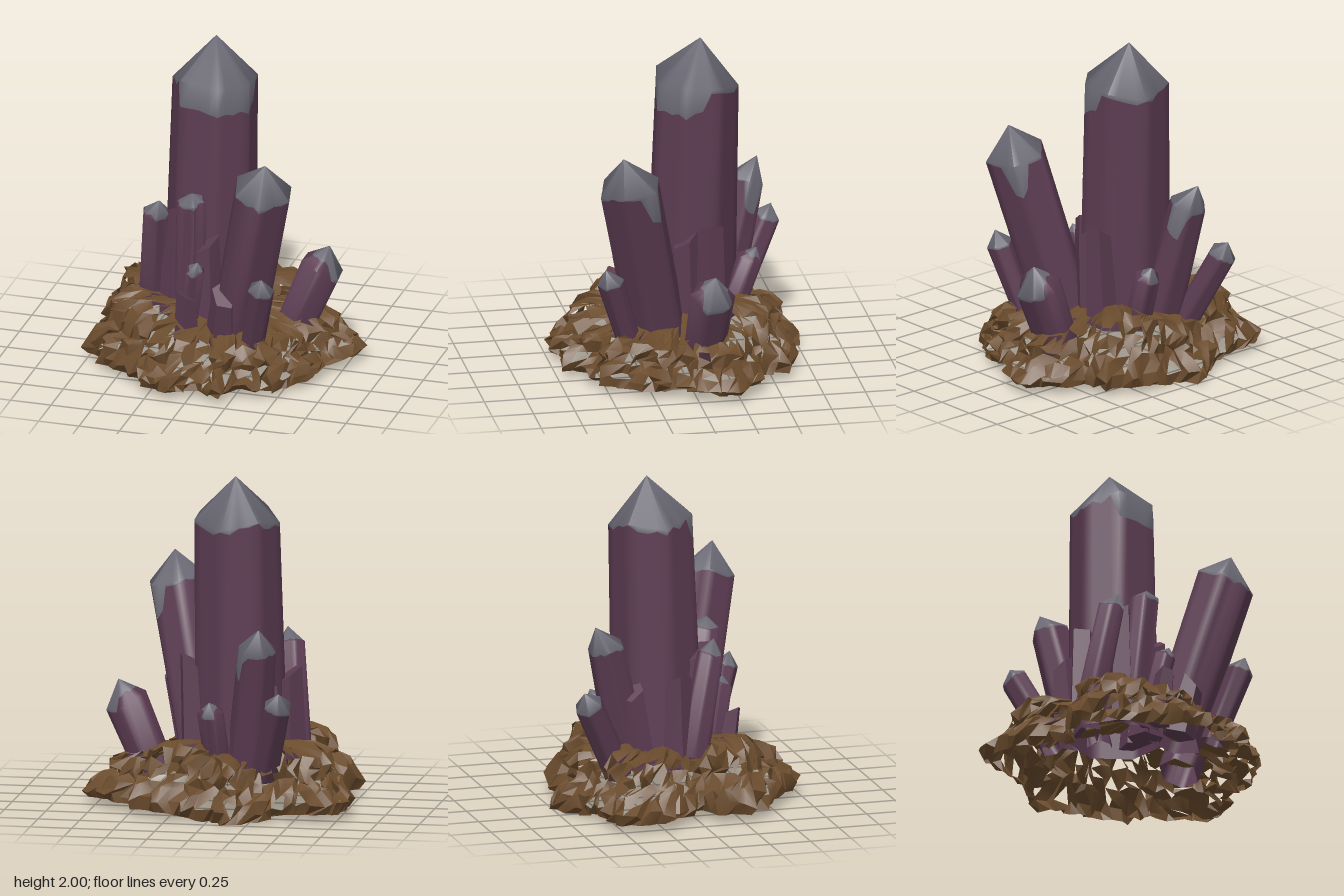
import * as THREE from 'three';
import { toCreasedNormals } from 'three/addons/utils/BufferGeometryUtils.js';

const material = (name, color) => {
  const m = new THREE.MeshStandardMaterial({ color, side: THREE.DoubleSide });
  m.name = name;
  return m;
};
const purple = material('crystal purple', 0x5c3c52);
const grey = material('tip grey', 0x696772);
const brown = material('rock brown', 0x6b4c2d);

const V = (p) => new THREE.Vector3(...p);
const lerp = THREE.MathUtils.lerp;

// Repeatable noise in -1..1 from any three numbers
function noise(x, y, z) {
  const s = Math.sin(x * 127.1 + y * 311.7 + z * 74.7) * 43758.5453;
  return (s - Math.floor(s)) * 2 - 1;
}

// Skins a list of closed rings, from bottom to top; keep() may leave out triangles
function skin(rings, crease, keep = () => true) {
  const n = rings[0].length;
  const index = [];
  for (let r = 0; r < rings.length - 1; r++) {
    for (let i = 0; i < n; i++) {
      const a = r * n + i, b = r * n + (i + 1) % n;
      if (keep(r, i, 0)) index.push(a, a + n, b);
      if (keep(r, i, 1)) index.push(b, a + n, b + n);
    }
  }
  const g = new THREE.BufferGeometry().setFromPoints(rings.flat());
  g.setIndex(index);
  return toCreasedNormals(g, crease);
}

// Prism from base to shoulder with a pointed grey cap. The cap's lower edge sits `edge`
// below the shoulder (above it if negative) and `drop` lower within `dropWidth` of `dropDir`.
function crystal({ name, base, shoulder, tip, r0, r1, sides = 6, turn = 0, edge = 0, drop = 0, dropDir = 0, dropWidth = 0.7 }) {
  const group = new THREE.Group();
  group.name = name;
  const from = V(base), peak = V(tip);
  const axis = V(shoulder).sub(from);
  const length = axis.length();
  const q = new THREE.Quaternion().setFromUnitVectors(new THREE.Vector3(0, 1, 0), axis.normalize());
  const steps = 4;
  const corner = (k) => {
    const a = turn + (k % sides) / sides * Math.PI * 2 + noise(k % sides, r1, 2) * 0.1;
    return new THREE.Vector3(Math.cos(a), 0, Math.sin(a));
  };
  const top = (k) => length + noise(k % sides, r1, 5) * r1 * 0.14;
  const rings = { foot: [], bodyTop: [], line: [], capRim: [] };
  for (let i = 0; i < sides * steps; i++) {
    const k = Math.floor(i / steps), f = (i % steps) / steps;
    const dir = corner(k).lerp(corner(k + 1), f);
    const at = (h) => {
      const r = lerp(r0, r1, h / length);
      return new THREE.Vector3(dir.x * r, h, dir.z * r).applyQuaternion(q).add(from);
    };
    const angle = Math.atan2(dir.z, dir.x) - dropDir;
    const away = Math.abs(Math.atan2(Math.sin(angle), Math.cos(angle)));
    const d = edge + r1 * 0.08 * noise(i, r1, 9) + drop * THREE.MathUtils.clamp((dropWidth - away) * 4, 0, 1);
    const rim = lerp(top(k), top(k + 1), f);
    const rimPoint = at(rim);
    const linePoint = d > 0 ? at(rim - d) : rimPoint.clone().lerp(peak, Math.min(0.8, -d / r1));
    rings.foot.push(at(0));
    rings.bodyTop.push(d > 0 ? linePoint : rimPoint);
    rings.line.push(linePoint);
    rings.capRim.push(d > 0 ? rimPoint : linePoint);
  }
  const body = new THREE.Mesh(skin([rings.foot, rings.bodyTop, rings.line], 1.1), purple);
  body.name = name + 'Body';
  const cap = new THREE.Mesh(skin([rings.line, rings.capRim, rings.line.map(() => peak)], 1.1), grey);
  cap.name = name + 'Tip';
  group.add(body, cap);
  return group;
}

// Rock base: one craggy open shell stepping up from a ledge to a lumpy top
function rockBase() {
  // rim of the rock: x, height of the top on that side, z
  const rim = [
    [-0.78, 0.38, -0.5], [-0.56, 0.42, -0.59], [-0.36, 0.3, -0.62], [-0.1, 0.36, -0.75], [-0.04, 0.36, -0.65],
    [0.2, 0.42, -0.67], [0.45, 0.42, -0.58], [0.5, 0.33, -0.42], [0.58, 0.32, -0.41], [0.75, 0.31, -0.28],
    [0.8, 0.31, -0.17], [0.74, 0.3, -0.03], [0.62, 0.29, 0.1], [0.67, 0.29, 0.2], [0.6, 0.3, 0.35],
    [0.5, 0.31, 0.54], [0.26, 0.28, 0.59], [0.2, 0.27, 0.73], [0.05, 0.27, 0.65], [-0.15, 0.3, 0.74],
    [-0.3, 0.33, 0.68], [-0.4, 0.4, 0.55], [-0.6, 0.43, 0.45], [-0.74, 0.43, 0.28], [-0.67, 0.42, 0.1],
    [-0.56, 0.36, 0.04], [-0.66, 0.38, -0.08], [-0.8, 0.42, -0.3],
  ].map(V);
  const outline = new THREE.CatmullRomCurve3(rim, true, 'catmullrom', 0.3).getSpacedPoints(110).slice(0, -1);
  // share of the rim radius, share of the height
  const profile = [[0.98, 0], [1, 0.18], [0.97, 0.36], [0.91, 0.5], [0.86, 0.58], [0.85, 0.76], [0.8, 0.92],
    [0.7, 1], [0.56, 1.03], [0.42, 1], [0.25, 1], [0, 1]];
  const rings = profile.map(([s, h], r) => outline.map((p, i) => {
    const floor = 0.05 - 0.045 * THREE.MathUtils.smoothstep(-p.z - Math.abs(p.x + 0.12), 0.25, 0.5);
    const crown = lerp(0.4, p.y, Math.min(1, s * 1.6));
    const rough = r < 8 ? 0.032 : 0.016 * s;
    const lump = 1 + 0.04 * noise(Math.floor(i / 5), Math.floor(r / 2), 4) * (r > 0 ? 1 : 0);
    return new THREE.Vector3(
      p.x * s * lump + rough * noise(i, r, 1),
      r ? lerp(floor, crown, h) + rough * 0.8 * noise(i, r, 2) : floor,
      p.z * s * lump + rough * noise(i, r, 3));
  }));
  // the thin outer ledge is broken through in places
  const keep = (r, i, half) => r > 8 || r === 0 || noise(i, r, half + 7) < 0.8;
  const m = new THREE.Mesh(skin(rings, 0.5, keep), brown);
  m.name = 'rockBase';
  return m;
}

export function createModel() {
  const model = new THREE.Group();
  model.name = 'crystalCluster';
  model.add(rockBase());

  // Tipped crystals
  const crystals = [
    { name: 'mainCrystal', base: [-0.1, 0.25, -0.09], shoulder: [-0.08, 1.74, -0.13], tip: [-0.08, 2, -0.16], r0: 0.28, r1: 0.257, sides: 7, turn: 0.4, edge: 0.02, drop: 0.15, dropDir: 1.1, dropWidth: 1.3 },
    { name: 'frontCrystal', base: [0.15, 0.25, 0.14], shoulder: [0.37, 1.26, 0.35], tip: [0.39, 1.44, 0.39], r0: 0.18, r1: 0.187, turn: 0.3, edge: 0.01, drop: 0.2, dropDir: -0.7, dropWidth: 0.5 },
    { name: 'leftCrystal', base: [0.42, 0.2, -0.09], shoulder: [0.59, 0.61, -0.11], tip: [0.635, 0.745, -0.12], r0: 0.125, r1: 0.138, turn: 0.5, edge: -0.06, drop: 0.08, dropDir: -0.2, dropWidth: 1.2 },
    { name: 'backCrystal', base: [-0.19, 0.3, -0.3], shoulder: [-0.27, 1.02, -0.47], tip: [-0.29, 1.15, -0.54], r0: 0.14, r1: 0.115, turn: 0.1, edge: 0.01, drop: 0.17, dropDir: -0.4, dropWidth: 0.6 },
    { name: 'backCornerCrystal', base: [-0.3, 0.25, -0.4], shoulder: [-0.42, 0.71, -0.62], tip: [-0.43, 0.79, -0.65], r0: 0.09, r1: 0.088, turn: 0.4, edge: 0.015 },
    { name: 'rightCrystal', base: [-0.41, 0.35, 0.03], shoulder: [-0.36, 0.95, 0.15], tip: [-0.33, 1.04, 0.18], r0: 0.1, r1: 0.085, turn: 0.2, edge: -0.01, drop: 0.03, dropDir: 0.8 },
    { name: 'frontCornerCrystal', base: [0.29, 0.22, 0.33], shoulder: [0.39, 0.67, 0.47], tip: [0.4, 0.75, 0.5], r0: 0.07, r1: 0.08, turn: 0.5, edge: 0.01 },
    { name: 'frontSliverCrystal', base: [-0.16, 0.3, 0.12], shoulder: [-0.13, 1.06, 0.19], tip: [-0.12, 1.12, 0.2], r0: 0.1, r1: 0.09, turn: 0.1, edge: -0.01, drop: 0.03, dropDir: 1.5 },
    { name: 'smallFrontCrystal', base: [-0.13, 0.3, 0.24], shoulder: [-0.07, 0.67, 0.31], tip: [-0.05, 0.73, 0.32], r0: 0.06, r1: 0.065, turn: 0.3, edge: -0.02, drop: 0.03, dropDir: 1.5 },
    { name: 'smallBackCrystal', base: [0, 0.3, -0.33], shoulder: [0.02, 0.62, -0.44], tip: [0.02, 0.69, -0.48], r0: 0.08, r1: 0.08, edge: -0.03, drop: 0.03, dropDir: -1.5 },
  ];
  crystals.forEach((c) => model.add(crystal(c)));

  // Broken purple stumps crowded round the main crystal: base, top, radius
  const stumps = [
    [[0.15, 0.3, -0.18], [0.18, 0.88, -0.18], 0.1],
    [[0.1, 0.3, -0.04], [0.13, 0.82, -0.03], 0.11],
    [[-0.38, 0.3, -0.05], [-0.38, 0.8, -0.06], 0.11],
    [[-0.25, 0.3, 0.1], [-0.25, 0.95, 0.1], 0.1],
    [[-0.04, 0.3, 0.16], [-0.04, 0.8, 0.17], 0.1],
    [[0.08, 0.22, 0.26], [0.12, 0.55, 0.34], 0.1],
    [[-0.12, 0.22, 0.3], [-0.11, 0.52, 0.35], 0.08],
    [[-0.3, 0.3, -0.27], [-0.3, 0.75, -0.32], 0.1],
  ];
  stumps.forEach(([a, b, r], i) => {
    const start = V(a), end = V(b);
    const g = new THREE.CylinderGeometry(r * 0.75, r, start.distanceTo(end), 5);
    // snap the top off at a slant
    const p = g.attributes.position;
    for (let j = 0; j < p.count; j++) if (p.getY(j) > 0) p.setY(j, p.getY(j) + p.getX(j) * 0.7);
    const m = new THREE.Mesh(toCreasedNormals(g, 0.6), purple);
    m.name = 'brokenStump' + i;
    m.position.copy(start).lerp(end, 0.5);
    m.quaternion.setFromUnitVectors(new THREE.Vector3(0, 1, 0), end.sub(start).normalize());
    m.rotateY(i * 1.7);
    model.add(m);
  });
  return model;
}
